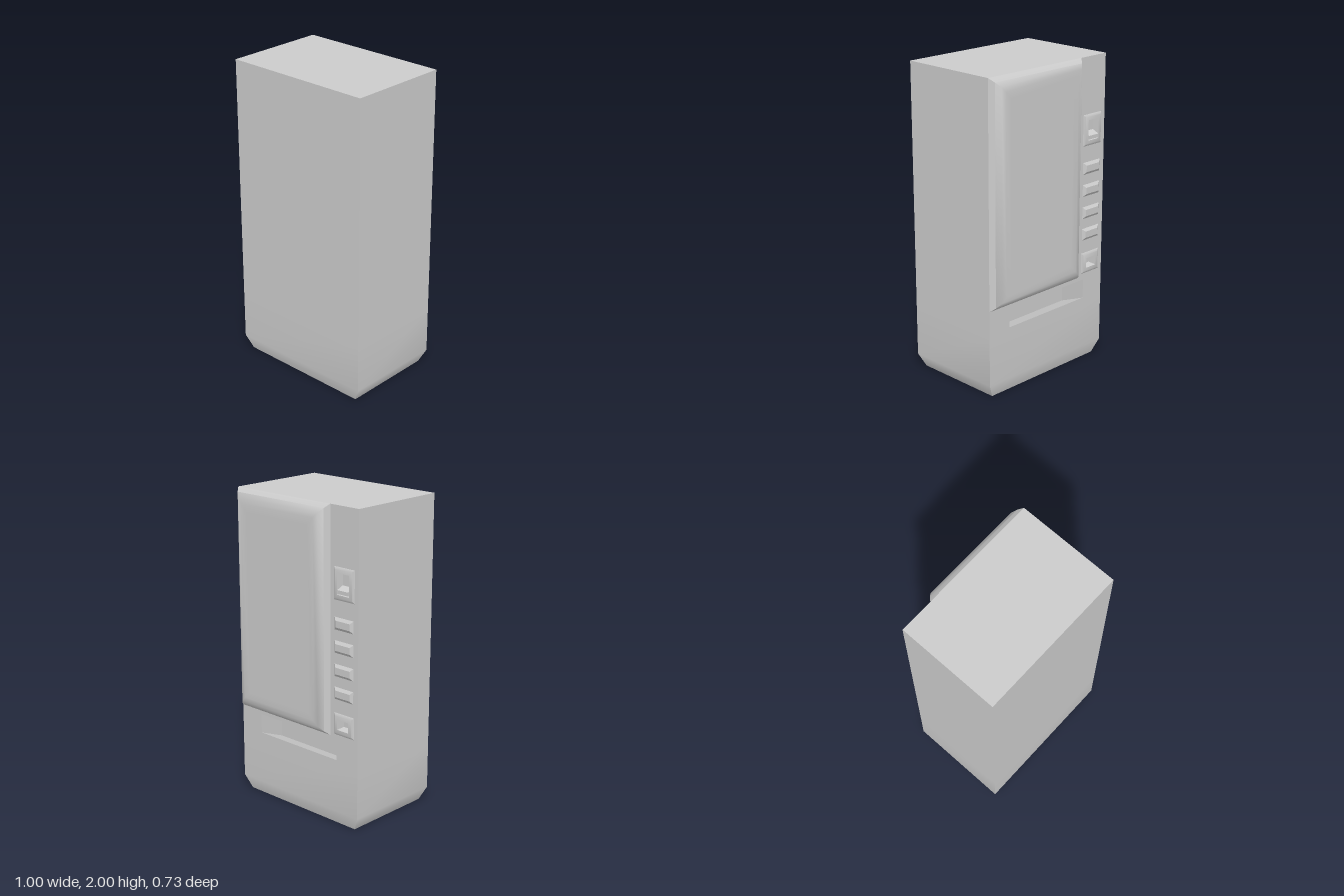
import * as THREE from 'three';
import { toCreasedNormals } from 'three/addons/utils/BufferGeometryUtils.js';

const BACK = -0.303, FRONT = 0.363;
const material = new THREE.MeshStandardMaterial({ color: 0xcccccc });

function indexed(points, index) {
  const g = new THREE.BufferGeometry();
  g.setAttribute('position', new THREE.Float32BufferAttribute(points.flat(), 3));
  g.setIndex(index);
  g.computeVertexNormals();
  return g;
}

// Rectangular rings [x0, x1, y0, y1, z] joined in order, last one capped, facing -z
function loft(rings, crease = 0.1) {
  const points = [], index = [];
  rings.forEach(([x0, x1, y0, y1, z], r) => {
    points.push([x1, y0, z], [x0, y0, z], [x0, y1, z], [x1, y1, z]);
    if (r === 0) return;
    for (let i = 0; i < 4; i++) {
      const a = (r - 1) * 4 + i, b = (r - 1) * 4 + (i + 1) % 4;
      index.push(a, b, b + 4, a, b + 4, a + 4);
    }
  });
  const c = (rings.length - 1) * 4;
  index.push(c, c + 1, c + 2, c, c + 2, c + 3);
  return toCreasedNormals(indexed(points, index), crease);
}

const inset = ([x0, x1, y0, y1], d, z) => [x0 + d, x1 - d, y0 + d, y1 - d, z];

export function createModel() {
  const model = new THREE.Group();
  const add = (name, geometry, parent = model) => {
    const mesh = new THREE.Mesh(geometry, material);
    mesh.name = name;
    parent.add(mesh);
    return mesh;
  };

  // Openings in the service face
  const slot = [-0.33, 0.33, 0.43, 0.555];
  const bill = [-0.435, -0.342, 1.475, 1.605];
  const coin = [-0.432, -0.345, 0.635, 0.7];

  // Cabinet: four side walls tapering in at the foot, plus top and bottom
  const cabinet = new THREE.Group();
  cabinet.name = 'cabinet';
  model.add(cabinet);
  const ring = (y, dx, dz) => [
    [-0.5 + dx, y, FRONT - dz], [0.5 - dx, y, FRONT - dz],
    [0.5 - dx, y, BACK + dz], [-0.5 + dx, y, BACK + dz],
  ];
  const levels = [ring(0, 0.045, 0.028), ring(0.09, 0, 0), ring(0.4, 0, 0), ring(2, 0, 0)];
  ['frontWall', 'leftWall', 'serviceFaceFoot', 'rightWall'].forEach((name, s) => {
    const rows = s === 2 ? levels.slice(0, 3) : levels;
    const points = rows.flatMap(r => [r[s], r[(s + 1) % 4]]);
    const index = [];
    for (let i = 0; i < rows.length - 1; i++) {
      const k = i * 2;
      index.push(k, k + 1, k + 3, k, k + 3, k + 2);
    }
    add(name, indexed(points, index), cabinet);
  });
  add('topPanel', indexed(levels[3], [0, 1, 2, 0, 2, 3]), cabinet);
  add('bottomPanel', indexed(levels[0], [0, 2, 1, 0, 3, 2]), cabinet);

  // Service face with its openings cut out (x mirrored, then turned to face -z)
  const outline = ([x0, x1, y0, y1], path) => {
    path.moveTo(-x1, y0);
    path.lineTo(-x0, y0);
    path.lineTo(-x0, y1);
    path.lineTo(-x1, y1);
    path.closePath();
    return path;
  };
  const face = outline([-0.5, 0.5, 0.4, 2], new THREE.Shape());
  for (const hole of [slot, bill, coin]) face.holes.push(outline(hole, new THREE.Path()));
  add('serviceFace', new THREE.ShapeGeometry(face).rotateY(Math.PI).translate(0, 0, BACK), cabinet);

  // Bulging display door with rounded edges
  const door = [-0.277, 0.5, 0.58, 2];
  const doorProfile = [[0, 0], [0.025, 0.03], [0.054, 0.053], [0.085, 0.06], [0.13, 0.06]];
  add('displayDoor', loft(doorProfile.map(([d, h]) => inset(door, d, BACK - h)), 1));

  // Delivery slot sloping down into the cabinet
  add('deliverySlot', loft([
    [...slot, BACK],
    [slot[0], slot[1], slot[2] - 0.073, slot[3] - 0.073, BACK + 0.18],
  ]));

  // Selection buttons
  for (const y of [1.296, 1.152, 1.006, 0.862]) {
    const b = [-0.463, -0.312, y - 0.039, y + 0.039];
    add('selectionButton', loft([[...b, BACK], inset(b, 0.018, BACK - 0.014)]));
  }

  // Bill reader and coin return: raised surround leading into a recess
  const recess = (name, hole, margin, depth) => add(name, loft([
    inset(hole, -margin, BACK),
    inset(hole, -margin * 0.6, BACK - 0.009),
    [...hole, BACK - 0.012],
    inset(hole, 0.006, BACK + depth),
  ], 0.6));
  recess('billReader', bill, 0.035, 0.03);
  recess('coinReturn', coin, 0.037, 0.04);

  // Lip at the foot of the bill reader
  const lip = [-0.43, -0.347, 1.482, 1.525];
  add('billLip', loft([[...lip, BACK + 0.03], [lip[0], lip[1], 1.482, 1.505, BACK - 0.015]]));

  return model;
}
